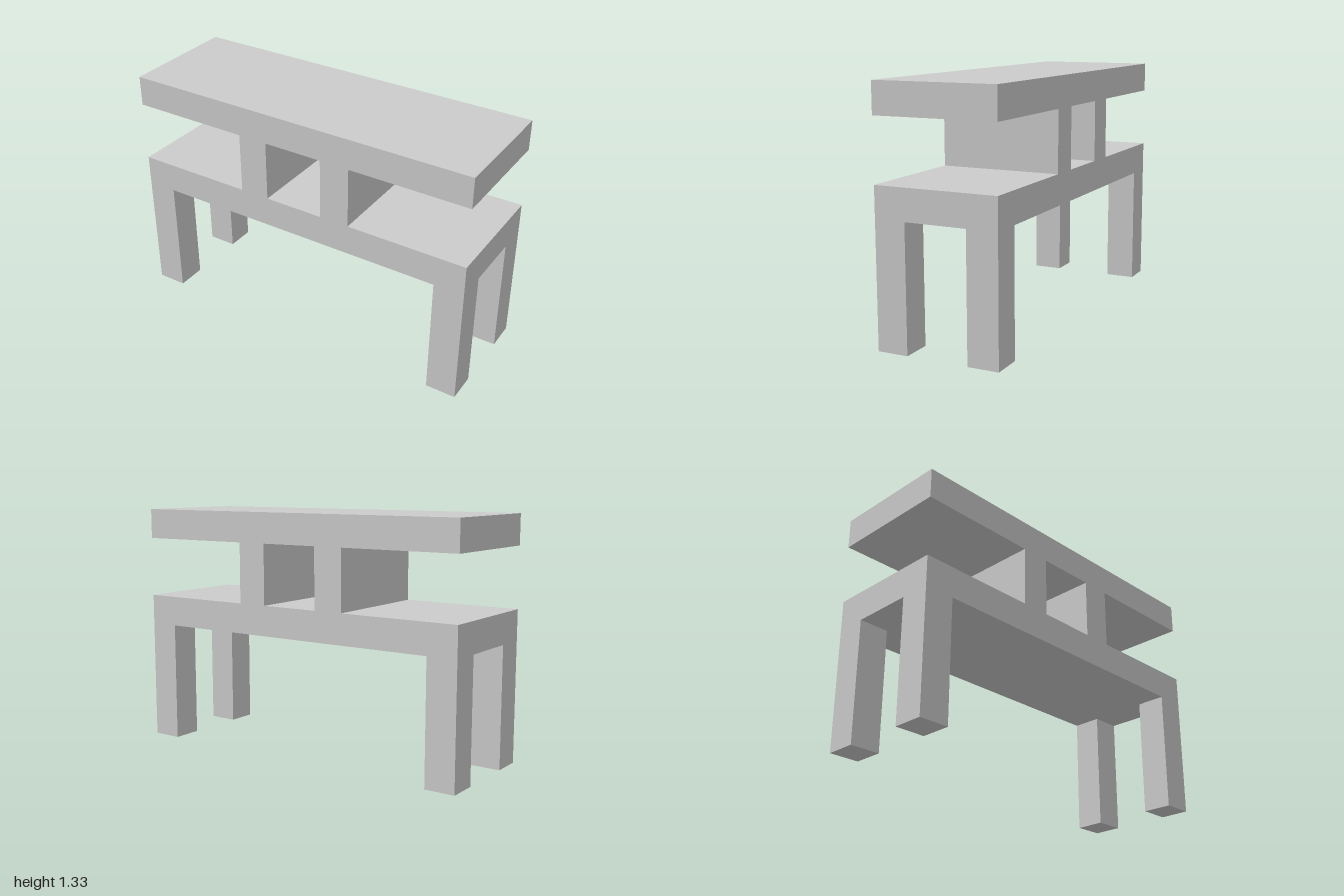
import * as THREE from 'three';

// Every dimension is a multiple of one module; the bench is 12 modules long.
const U = 1 / 6;

export function createModel() {
  const model = new THREE.Group();
  model.name = 'twoTierBench';
  const material = new THREE.MeshStandardMaterial({ color: 0xcccccc, flatShading: true });

  // Adds a box of w x h x d modules, standing at height y and centred on x, z.
  function addBox(name, w, h, d, x, y, z) {
    const mesh = new THREE.Mesh(new THREE.BoxGeometry(w * U, h * U, d * U), material);
    mesh.name = name;
    mesh.position.set(x * U, (y + h / 2) * U, z * U);
    model.add(mesh);
  }

  // Lower and upper slabs
  addBox('lowerSlab', 12, 1, 4, 0, 4, 0);
  addBox('upperSlab', 12, 1, 4, 0, 7, 0);

  for (const [side, sx] of [['Left', 1], ['Right', -1]]) {
    // Full-depth wall carrying the upper slab
    addBox(`support${side}`, 1, 2, 4, sx * 1.5, 5, 0);

    // Corner legs
    for (const [end, sz] of [['front', 1], ['back', -1]]) {
      addBox(`${end}Leg${side}`, 1, 4, 1, sx * 5.5, 0, sz * 1.5);
    }
  }

  return model;
}
